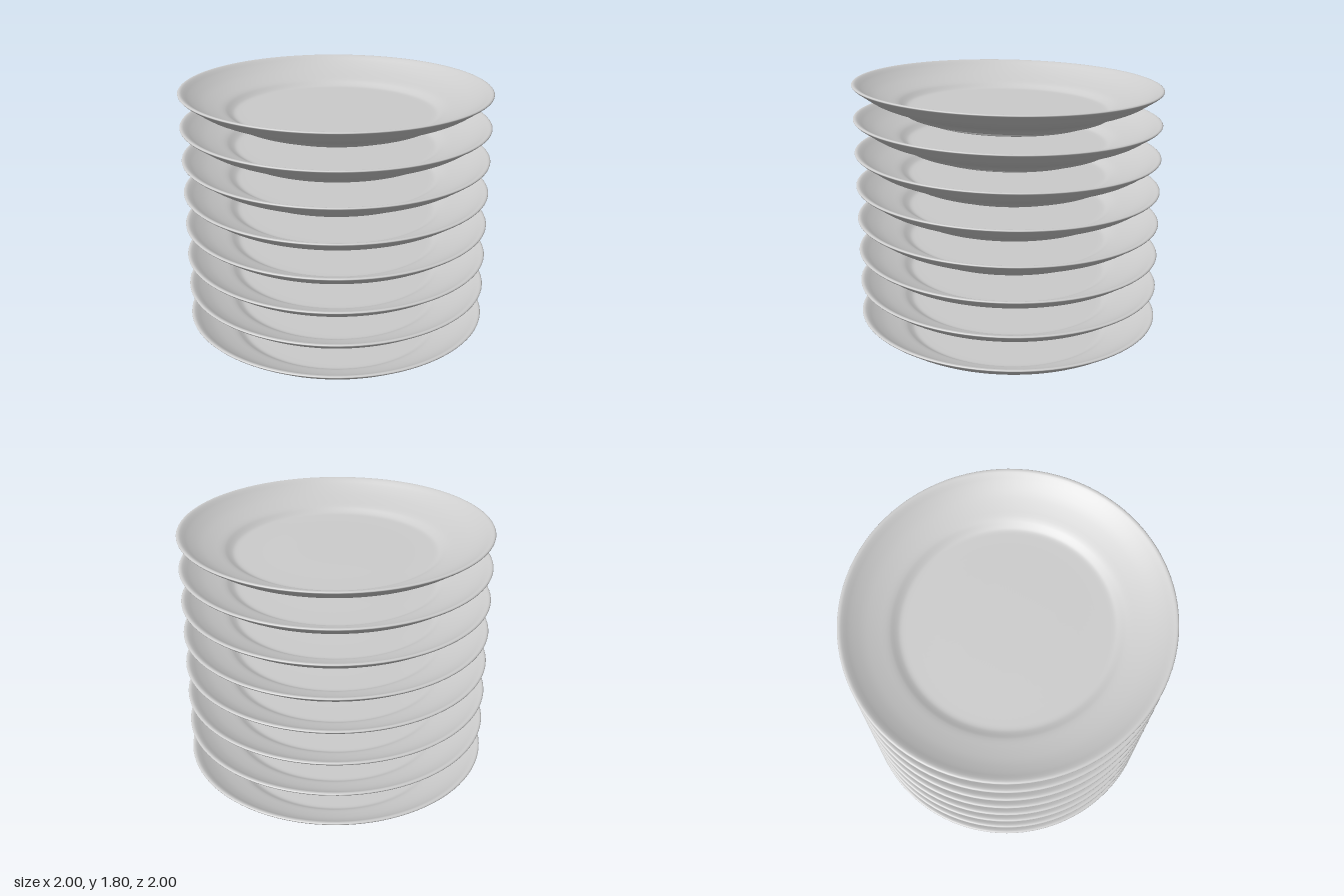
import * as THREE from 'three';

const COUNT = 8;      // plates in the stack
const PITCH = 0.22;   // vertical distance between plates
const PIVOT = 0.2;    // height each plate is tilted about

// Half cross-section [radius, height]: under the base, out to the rim, back over the top
const PROFILE = [
  [0, 0.028], [0.3, 0.028], [0.51, 0.028], [0.535, 0.024],          // recessed base
  [0.542, 0.014], [0.552, 0.0125], [0.562, 0.015], [0.57, 0.033],   // foot ring
  [0.59, 0.04], [0.635, 0.043], [0.67, 0.052], [0.695, 0.071],      // shoulder
  [0.73, 0.09], [0.8, 0.113], [0.88, 0.146], [0.955, 0.195],        // outer flare
  [0.992, 0.22], [1, 0.23], [0.992, 0.236], [0.975, 0.233],         // lip
  [0.93, 0.204], [0.86, 0.167], [0.78, 0.137], [0.71, 0.114],       // inner flare
  [0.675, 0.094], [0.65, 0.083], [0.61, 0.08], [0.3, 0.08], [0, 0.08], // well
];

function plateGeometry() {
  const curve = new THREE.CatmullRomCurve3(
    PROFILE.map(([r, y]) => new THREE.Vector3(r, y - PIVOT, 0)), false, 'centripetal');
  const points = curve.getPoints((PROFILE.length - 1) * 3)
    .map((p) => new THREE.Vector2(Math.max(0, p.x), p.y));
  return new THREE.LatheGeometry(points, 96);
}

export function createModel() {
  const model = new THREE.Group();
  model.name = 'plateStack';
  const material = new THREE.MeshStandardMaterial({ color: 0xcccccc });
  const geometry = plateGeometry();

  // Identical plates, all leaning slightly up towards the front left
  for (let i = 0; i < COUNT; i++) {
    const plate = new THREE.Mesh(geometry, material);
    plate.name = `plate${i + 1}`;
    plate.position.y = PIVOT + i * PITCH;
    plate.rotation.set(-0.02, 0, 0.01);
    model.add(plate);
  }
  return model;
}
